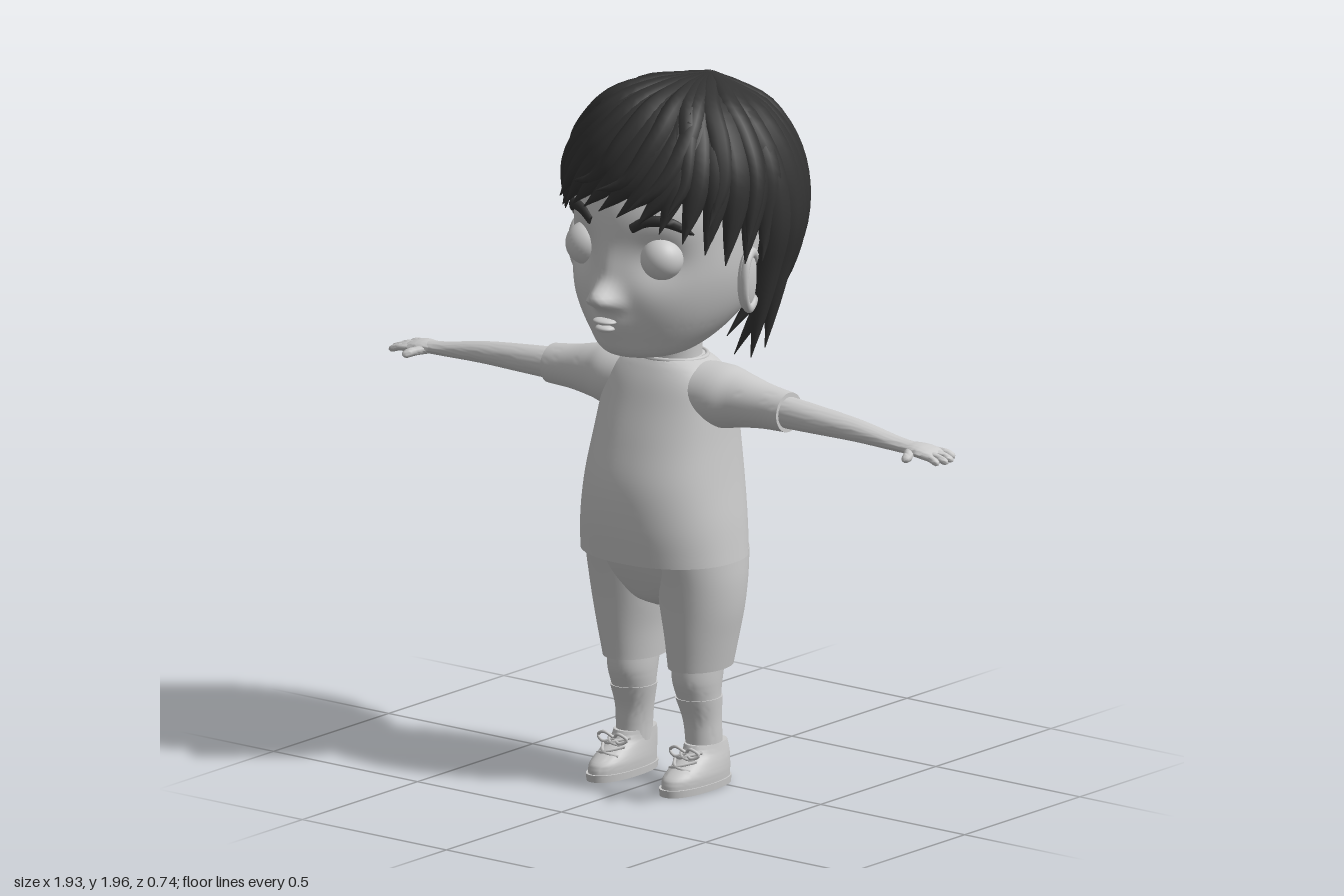
import * as THREE from 'three';
import { toCreasedNormals } from 'three/addons/utils/BufferGeometryUtils.js';

const V = (x, y, z) => new THREE.Vector3(x, y, z);
const grey = new THREE.MeshStandardMaterial({ color: 0xcccccc });
const dark = new THREE.MeshStandardMaterial({ color: 0x333333 });

// Skin a list of point rings and close both ends.
function skin(rings) {
  const n = rings[0].length, m = rings.length, pts = rings.flat(), idx = [];
  for (let i = 0; i < m - 1; i++) for (let j = 0; j < n; j++) {
    const a = i * n + j, b = i * n + (j + 1) % n;
    idx.push(a, b, a + n, b, b + n, a + n);
  }
  const mid = r => r.reduce((s, p) => s.add(p), V(0, 0, 0)).divideScalar(n);
  pts.push(mid(rings[0]), mid(rings[m - 1]));
  for (let j = 0; j < n; j++) {
    const k = (j + 1) % n, e = (m - 1) * n;
    idx.push(m * n, k, j, m * n + 1, e + j, e + k);
  }
  const g = new THREE.BufferGeometry().setFromPoints(pts);
  g.setIndex(idx);
  return g;
}

// Smooth loft through rows [t, a, b, ra, rb] (y axis: a = x, b = z; x axis: a = y, b = z).
function loft(rows, { axis = 'y', n = 40, p = 2, steps = 5 } = {}) {
  const mids = new THREE.CatmullRomCurve3(rows.map(r => V(r[0], r[1], r[2])), false, 'catmullrom');
  const radii = new THREE.CatmullRomCurve3(rows.map(r => V(r[3], r[4], 0)), false, 'catmullrom');
  const round = v => Math.sign(v) * Math.abs(v) ** (2 / p);
  const rings = [], m = (rows.length - 1) * steps;
  for (let i = 0; i <= m; i++) {
    const c = mids.getPoint(i / m), r = radii.getPoint(i / m), ring = [];
    for (let j = 0; j < n; j++) {
      const u = round(Math.cos(j / n * Math.PI * 2)), v = round(Math.sin(j / n * Math.PI * 2));
      ring.push(axis === 'y' ? V(c.y + r.x * v, c.x, c.z + r.y * u) : V(c.x, c.y + r.x * u, c.z + r.y * v));
    }
    rings.push(ring);
  }
  return toCreasedNormals(skin(rings), 0.9);
}

// Sweep a w by h oval along points; up(p) gives the thickness direction.
function sweep(points, w, h, up, taper, seg = 20, n = 10) {
  const curve = new THREE.CatmullRomCurve3(points), rings = [];
  for (let i = 0; i <= seg; i++) {
    const t = i / seg, p = curve.getPointAt(t), T = curve.getTangentAt(t);
    const B = up(p).cross(T).normalize(), N = T.clone().cross(B), k = Math.max(0.03, taper(t)), ring = [];
    for (let j = 0; j < n; j++) {
      const a = j / n * Math.PI * 2;
      ring.push(p.clone().addScaledVector(B, w * k * Math.cos(a)).addScaledVector(N, h * k * Math.sin(a)));
    }
    rings.push(ring);
  }
  return toCreasedNormals(skin(rings), 1.2);
}

function ball(x, y, z, rx, ry, rz) {
  return new THREE.SphereGeometry(1, 32, 20).scale(rx, ry, rz).translate(x, y, z);
}

// Mirror a geometry across x = 0 and restore its winding.
function mirrored(geo) {
  const g = (geo.index ? geo.toNonIndexed() : geo.clone()).applyMatrix4(new THREE.Matrix4().makeScale(-1, 1, 1));
  for (const at of Object.values(g.attributes)) {
    const s = at.itemSize;
    for (let i = 0; i < at.count; i += 3) for (let k = 0; k < s; k++) {
      const b = (i + 1) * s + k, c = b + s;
      [at.array[b], at.array[c]] = [at.array[c], at.array[b]];
    }
  }
  return g;
}

// Hair envelope: angle from the front toward +x, height, and scale.
const hairC = V(0.01, 1.62, -0.02);
function onHair(deg, y, k) {
  const a = deg * Math.PI / 180, r = Math.sqrt(Math.max(0, 1 - ((y - 1.62) / 0.37) ** 2));
  return V(hairC.x + 0.342 * k * r * Math.sin(a), 1.62 + (y - 1.62) * k, hairC.z + 0.345 * k * r * Math.cos(a));
}
const outward = p => p.clone().sub(hairC);
const lockTaper = t => (t < 0.2 ? 0.6 + 2 * t : 1) * (t > 0.55 ? 1 - ((t - 0.55) / 0.45) ** 2 : 1);
const fingerTaper = t => t < 0.75 ? 1 : Math.sqrt(Math.max(0, 1 - ((t - 0.75) / 0.25) ** 2));

// Push the front of the face in or out by soft round bumps [x, y, width, height, depth].
function shapeFace(geo, bumps) {
  const pos = geo.attributes.position;
  for (let i = 0; i < pos.count; i++) {
    const x = pos.getX(i), y = pos.getY(i), z = pos.getZ(i);
    if (z < 0.08) continue;
    let d = 0;
    for (const [bx, by, w, h, k] of bumps) d += k * Math.exp(-(((x - bx) / w) ** 2 + ((y - by) / h) ** 2) / 2);
    pos.setZ(i, z + d * Math.min(1, (z - 0.08) / 0.08));
  }
  return toCreasedNormals(geo, 1.2);
}

export function createModel() {
  const model = new THREE.Group();
  model.name = 'boy';
  const add = (name, geo, mat = grey, parent = model) => {
    const m = new THREE.Mesh(geo, mat);
    m.name = name;
    parent.add(m);
  };
  const pair = (name, geo, mat = grey) => {
    add(name + 'Left', geo, mat);
    add(name + 'Right', mirrored(geo), mat);
  };

  // Head with eye sockets, nose, nostrils, muzzle, chin and cheeks
  add('head', shapeFace(loft([
    [1.215, 0, 0.14, 0.04, 0.05], [1.235, 0, 0.125, 0.12, 0.13], [1.285, 0, 0.085, 0.178, 0.19],
    [1.36, 0, 0.05, 0.228, 0.24], [1.45, 0, 0.03, 0.258, 0.272], [1.55, 0, 0.01, 0.268, 0.29],
    [1.66, 0, -0.005, 0.265, 0.292], [1.8, 0, -0.02, 0.23, 0.25], [1.89, 0, -0.02, 0.13, 0.15], [1.92, 0, -0.02, 0.02, 0.02],
  ], { n: 128, steps: 8 }), [
    [0.13, 1.52, 0.05, 0.045, -0.035], [-0.13, 1.52, 0.05, 0.045, -0.035],
    [0, 1.41, 0.027, 0.024, 0.062], [0, 1.47, 0.025, 0.045, 0.014],
    [0.032, 1.396, 0.014, 0.013, 0.028], [-0.032, 1.396, 0.014, 0.013, 0.028],
    [0, 1.33, 0.05, 0.035, 0.025], [0, 1.265, 0.04, 0.025, 0.01],
    [0.14, 1.38, 0.06, 0.05, 0.01], [-0.14, 1.38, 0.06, 0.05, 0.01],
  ]));
  add('upperLip', ball(0, 1.34, 0.312, 0.036, 0.01, 0.027));
  add('lowerLip', ball(0, 1.32, 0.31, 0.029, 0.011, 0.025));
  pair('eye', ball(0.13, 1.52, 0.225, 0.06, 0.06, 0.06));
  pair('eyebrow', sweep([V(0.07, 1.605, 0.285), V(0.11, 1.628, 0.272), V(0.16, 1.63, 0.245), V(0.212, 1.592, 0.19)],
    0.017, 0.012, p => V(p.x, 0, p.z), t => 0.75 + 0.5 * t - 1.1 * t ** 4), dark);

  // Ears: a flattened bowl with a rolled rim
  const place = g => g.rotateY(0.3).rotateZ(-0.1).rotateX(0.12).translate(0.275, 1.445, 0.038);
  pair('ear', place(ball(0, 0, 0, 0.02, 0.088, 0.052)));
  pair('earRim', place(new THREE.TorusGeometry(0.048, 0.009, 10, 36).scale(1, 1.68, 1.3).rotateY(Math.PI / 2).translate(0.01, 0, 0)));

  // Hair: a scalp cap tucked behind the hairline, covered with thick locks
  const hair = new THREE.Group();
  hair.name = 'hair';
  model.add(hair);
  const cap = new THREE.SphereGeometry(1, 48, 32).scale(0.305, 0.335, 0.31).translate(hairC.x, hairC.y, hairC.z);
  const cp = cap.attributes.position;
  for (let i = 0; i < cp.count; i++) {
    const p = V().fromBufferAttribute(cp, i);
    if ((p.z > -0.04 && p.y < 1.67) || p.y < 1.34) p.sub(hairC).multiplyScalar(0.6).add(hairC);
    cp.setXYZ(i, p.x, p.y, p.z);
  }
  cap.computeVertexNormals();
  add('scalp', cap, dark, hair);
  const crown = V(0.03, 1.94, -0.11);
  for (let i = 0; i < 16; i++) {
    // Locks falling over the back to the nape
    const a = 93 + i * 11.6, side = Math.abs(Math.sin(a * Math.PI / 180)) ** 2;
    const tip = 1.25 + 0.05 * side + 0.02 * Math.sin(i * 2.4), k = 0.9 + 0.012 * Math.sin(i * 1.9);
    add('backLock', sweep([crown, onHair(a, 1.89, k), onHair(a, 1.76, k), onHair(a, 1.6, k),
      onHair(a, 1.44, k + 0.03 * side), onHair(a, tip, 1 + 0.3 * side)], 0.052, 0.036, outward, lockTaper, 26), dark, hair);
  }
  // Swept fringe and side locks, with a second shorter layer on top
  const fringe = (a, raise, k, w) => {
    const sweepBy = a < 25 ? 32 : 6, f = Math.min(1, (a / 65) ** 2);
    const tip = 1.645 - 0.125 * f + raise + 0.025 * Math.sin(a * 1.7);
    add('fringeLock', sweep([crown, onHair(a + sweepBy, 1.93, k), onHair(a + sweepBy * 0.7, 1.85, k),
      onHair(a + sweepBy * 0.3, 1.74, k + 0.01), onHair(a - 6, tip, k + 0.06)], w, 0.034, outward, lockTaper, 24), dark, hair);
  };
  for (let i = 0; i < 17; i++) fringe(-88 + i * 11, 0, 0.9, 0.046);
  for (let i = 0; i < 9; i++) fringe(-80 + i * 19.5, 0.05, 0.925, 0.036);

  // Neck and shirt
  add('neck', loft([[1.13, 0, 0.025, 0.1, 0.085], [1.19, 0, 0.028, 0.092, 0.08], [1.27, 0, 0.03, 0.095, 0.085]]));
  add('shirtBody', loft([
    [0.645, 0, 0.052, 0.238, 0.196], [0.75, 0, 0.055, 0.23, 0.204], [0.86, 0, 0.052, 0.217, 0.2],
    [0.97, 0, 0.041, 0.206, 0.176], [1.07, 0, 0.03, 0.198, 0.147], [1.13, 0, 0.026, 0.185, 0.126],
    [1.17, 0, 0.024, 0.152, 0.106], [1.195, 0, 0.024, 0.108, 0.088],
  ], { n: 64, p: 2.2 }));
  add('collar', new THREE.TorusGeometry(0.1, 0.007, 8, 48).rotateX(Math.PI / 2).scale(1.06, 1, 0.87).translate(0, 1.192, 0.024));
  pair('sleeve', loft([
    [0.05, 1.1, 0.025, 0.085, 0.1], [0.18, 1.1, 0.025, 0.088, 0.098], [0.25, 1.1, 0.025, 0.076, 0.077],
    [0.33, 1.096, 0.025, 0.062, 0.062], [0.41, 1.092, 0.025, 0.055, 0.056],
  ], { axis: 'x' }));

  // Arms and hands
  pair('arm', loft([
    [0.36, 1.093, 0.025, 0.046, 0.048], [0.5, 1.088, 0.025, 0.039, 0.044], [0.65, 1.08, 0.022, 0.03, 0.037],
    [0.78, 1.067, 0.022, 0.02, 0.029], [0.84, 1.063, 0.022, 0.017, 0.029],
  ], { axis: 'x' }));
  pair('palm', loft([
    [0.81, 1.064, 0.022, 0.015, 0.026], [0.86, 1.062, 0.018, 0.018, 0.041],
    [0.895, 1.057, 0.014, 0.015, 0.045], [0.918, 1.053, 0.013, 0.009, 0.038],
  ], { axis: 'x' }));
  const yUp = () => V(0, 1, 0);
  [0.945, 0.962, 0.966, 0.955].forEach((tip, i) => {
    const z = -0.022 + i * 0.023;
    pair('finger', sweep([V(0.885, 1.057, z), V(0.925, 1.054, z * 1.1), V(tip, 1.043, z * 1.2)], 0.011, 0.01, yUp, fingerTaper, 10));
  });
  pair('thumb', sweep([V(0.835, 1.06, 0.035), V(0.86, 1.056, 0.07), V(0.872, 1.05, 0.102)], 0.014, 0.012, yUp, fingerTaper, 10));

  // Trousers: hips and two legs
  add('hips', loft([
    [0.495, 0, 0.035, 0.03, 0.05], [0.52, 0, 0.035, 0.11, 0.1], [0.57, 0, 0.036, 0.205, 0.135],
    [0.62, 0, 0.04, 0.23, 0.158], [0.67, 0, 0.045, 0.23, 0.175],
  ]));
  pair('trouserLeg', loft([
    [0.335, 0.113, 0.037, 0.078, 0.105], [0.42, 0.117, 0.036, 0.092, 0.117], [0.5, 0.118, 0.035, 0.107, 0.128],
    [0.58, 0.118, 0.037, 0.115, 0.14], [0.66, 0.118, 0.042, 0.115, 0.155],
  ]));

  // Calves and socks
  pair('calf', loft([
    [0.12, 0.12, 0.033, 0.046, 0.053], [0.18, 0.118, 0.035, 0.048, 0.053], [0.25, 0.113, 0.045, 0.057, 0.066],
    [0.3, 0.112, 0.05, 0.063, 0.078], [0.36, 0.112, 0.045, 0.066, 0.085],
  ]));
  pair('sock', loft([
    [0.09, 0.121, 0.032, 0.046, 0.055], [0.14, 0.12, 0.033, 0.048, 0.055],
    [0.19, 0.117, 0.036, 0.052, 0.057], [0.25, 0.113, 0.045, 0.061, 0.07],
  ]));

  // Shoes with soles and tied laces
  pair('sole', loft([[0, 0.127, 0.078, 0.055, 0.133], [0.02, 0.127, 0.078, 0.057, 0.135]], { p: 2.3 }));
  pair('shoe', loft([
    [0.015, 0.127, 0.077, 0.053, 0.13], [0.045, 0.127, 0.073, 0.055, 0.126], [0.075, 0.126, 0.05, 0.052, 0.102],
    [0.1, 0.124, 0.031, 0.048, 0.08], [0.122, 0.122, 0.027, 0.046, 0.07],
  ], { p: 2.2 }));
  const lace = pts => new THREE.TubeGeometry(new THREE.CatmullRomCurve3(pts), 20, 0.0045, 6);
  for (const s of [-1, 1]) {
    for (const [y, z] of [[0.07, 0.158], [0.09, 0.128]]) {
      pair('lace', lace([V(0.125 - s * 0.036, y - 0.006, z - 0.016), V(0.125, y + 0.006, z + 0.002), V(0.125 + s * 0.036, y + 0.016, z - 0.038)]));
    }
    pair('laceBow', lace([V(0.125, 0.105, 0.115), V(0.125 + s * 0.025, 0.122, 0.128), V(0.125 + s * 0.05, 0.108, 0.122),
      V(0.125 + s * 0.03, 0.095, 0.128), V(0.125, 0.103, 0.117)]));
  }
  return model;
}
